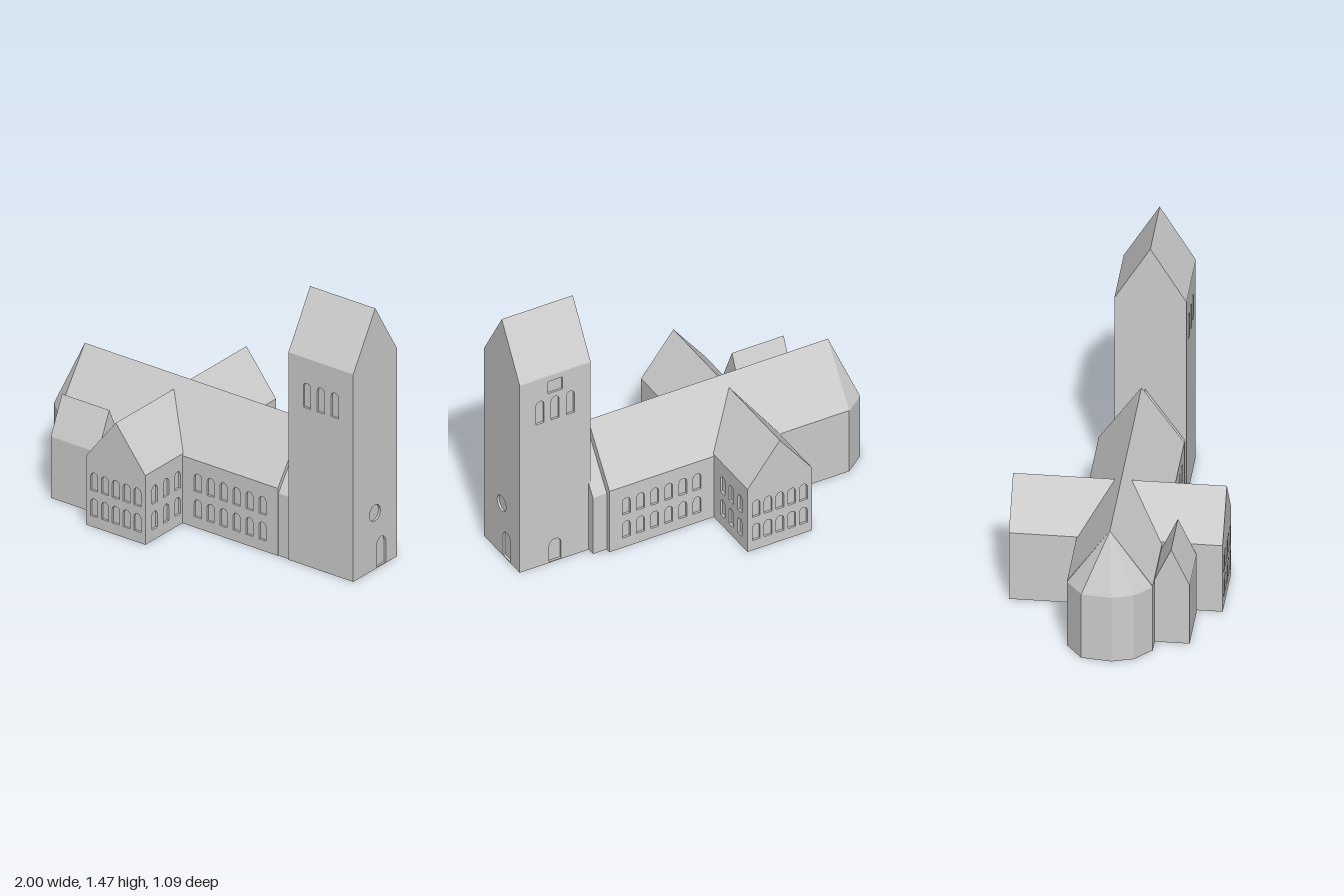
import * as THREE from 'three';
import { mergeGeometries } from 'three/addons/utils/BufferGeometryUtils.js';

const stone = new THREE.MeshStandardMaterial({ color: 0xcccccc });
stone.name = 'pale grey stone';

const RECESS = 0.012;

// Flat-shaded geometry from a list of convex polygons, counter-clockwise from outside
function polygons(faces) {
  const pos = [];
  for (const f of faces) {
    for (let i = 1; i < f.length - 1; i++) pos.push(...f[0], ...f[i], ...f[i + 1]);
  }
  const g = new THREE.BufferGeometry();
  g.setAttribute('position', new THREE.Float32BufferAttribute(pos, 3));
  g.computeVertexNormals();
  return g;
}

function flat(shape) {
  const g = new THREE.ShapeGeometry(shape).toNonIndexed();
  g.deleteAttribute('uv');
  return g;
}

// Opening outlines, counter-clockwise
function arch(u, y0, y1, w) {
  const r = w / 2, pts = [[u - r, y0], [u + r, y0]];
  for (let i = 0; i <= 6; i++) {
    const a = (i / 6) * Math.PI;
    pts.push([u + r * Math.cos(a), y1 - r + r * Math.sin(a)]);
  }
  return pts;
}
const rect = (u, y0, y1, w) => [[u - w / 2, y0], [u + w / 2, y0], [u + w / 2, y1], [u - w / 2, y1]];
function round(u, y, r) {
  return Array.from({ length: 24 }, (_, i) => {
    const a = (i / 24) * Math.PI * 2;
    return [u + r * Math.cos(a), y + r * Math.sin(a)];
  });
}

// Two storeys of arched windows at the given positions along a wall
const twoRows = (us) => us.flatMap((u) => [arch(u, 0.06, 0.16, 0.045), arch(u, 0.205, 0.305, 0.045)]);
const row = (start, step, n) => Array.from({ length: n }, (_, i) => start + step * i);

const toShape = (pts) => new THREE.Shape(pts.map(([x, y]) => new THREE.Vector2(x, y)));

// Wall with recessed openings, facing +z before it is turned and pushed outwards
function facade(outline, openings, angle, distance) {
  const shape = toShape(outline);
  const recesses = [];
  for (const o of openings) {
    shape.holes.push(toShape(o));
    recesses.push(flat(toShape(o)).translate(0, 0, -RECESS));
    recesses.push(polygons(o.map((p, i) => {
      const q = o[(i + 1) % o.length];
      return [[...p, 0], [...q, 0], [...q, -RECESS], [...p, -RECESS]];
    })));
  }
  const place = (g) => g.translate(0, 0, distance).rotateY(angle);
  return { wall: place(flat(shape)), recesses: recesses.map(place) };
}

// Gabled block with its ridge along local z; openings are listed per wall
function gabledBlock(name, { width, length, eave, ridge, front = [], back = [], right = [], left = [] }) {
  const w = width / 2, l = length / 2;
  const gable = [[-w, 0], [w, 0], [w, eave], [0, ridge], [-w, eave]];
  const side = [[-l, 0], [l, 0], [l, eave], [-l, eave]];
  const walls = [
    facade(gable, front, 0, l),
    facade(gable, back, Math.PI, l),
    facade(side, right, Math.PI / 2, w),
    facade(side, left, -Math.PI / 2, w),
  ];
  const group = new THREE.Group();
  group.name = name;
  const add = (part, geometry) => {
    const m = new THREE.Mesh(geometry, stone);
    m.name = name + part;
    group.add(m);
  };
  add('Walls', mergeGeometries(walls.map((f) => f.wall)));
  const recesses = walls.flatMap((f) => f.recesses);
  if (recesses.length) add('Openings', mergeGeometries(recesses));
  add('Roof', polygons([
    [[w, eave, l], [w, eave, -l], [0, ridge, -l], [0, ridge, l]],
    [[-w, eave, -l], [-w, eave, l], [0, ridge, l], [0, ridge, -l]],
  ]));
  add('Floor', polygons([[[-w, 0, -l], [w, 0, -l], [w, 0, l], [-w, 0, l]]]));
  return group;
}

// Block with its ridge along x, given by its extents; front wall = +x, left wall = +z, right wall = -z
function alongX(name, x0, x1, z0, z1, eave, ridge, openings = {}) {
  const g = gabledBlock(name, { width: z1 - z0, length: x1 - x0, eave, ridge, ...openings });
  g.rotation.y = Math.PI / 2;
  g.position.set((x0 + x1) / 2, 0, (z0 + z1) / 2);
  return g;
}

export function createModel() {
  const church = new THREE.Group();
  church.name = 'church';

  // Nave, windows between transept and tower on both sides
  const naveMid = (-0.87 + 0.52) / 2;
  const naveWindows = row(0.012, 0.082, 6).map((x) => x - naveMid);
  church.add(alongX('nave', -0.87, 0.52, -0.2, 0.235, 0.38, 0.69, {
    left: twoRows(naveWindows),
    right: twoRows(naveWindows.map((u) => -u)),
  }));

  // Short link between nave and tower
  church.add(alongX('link', 0.51, 0.6, -0.172, 0.23, 0.35, 0.64));

  // Saddle-roofed tower with belfry windows, doors and a round window
  const belfry = row(-0.088, 0.088, 3).map((u) => arch(u, 0.89, 1.03, 0.046));
  church.add(alongX('tower', 0.588, 1, -0.128, 0.237, 1.17, 1.47, {
    left: belfry,
    right: [...belfry, rect(0, 1.06, 1.135, 0.085), arch(0, 0.006, 0.14, 0.07)],
    front: [round(-0.002, 0.317, 0.045), arch(0.05, 0.006, 0.165, 0.075)],
  }));

  // Side annex
  church.add(alongX('annex', -0.785, -0.485, 0.225, 0.412, 0.345, 0.548));

  // Transept crossing the nave
  const gableWindows = twoRows(row(-0.137, 0.0685, 5));
  const transept = gabledBlock('transept', {
    width: 0.375, length: 1.085, eave: 0.39, ridge: 0.63,
    front: gableWindows,
    back: gableWindows,
    right: twoRows([-0.465, -0.37, -0.275, 0.29, 0.375, 0.465]),
  });
  transept.position.x = -0.273;
  church.add(transept);

  // Polygonal apse with a half-pyramid roof
  const plan = [[-0.87, -0.2], [-0.982, -0.115], [-1, 0.04], [-0.965, 0.15], [-0.87, 0.235]];
  const eave = 0.375, apex = [-0.87, 0.69, 0.0175];
  const at = ([x, z], y) => [x, y, z];
  const pairs = plan.slice(1).map((q, i) => [plan[i], q]);
  const apse = new THREE.Group();
  apse.name = 'apse';
  const parts = {
    apseWalls: pairs.map(([p, q]) => [at(p, 0), at(q, 0), at(q, eave), at(p, eave)]),
    apseRoof: pairs.map(([p, q]) => [at(p, eave), at(q, eave), apex]),
    apseFloor: [plan.map((p) => at(p, 0)).reverse()],
  };
  for (const [name, faces] of Object.entries(parts)) {
    const m = new THREE.Mesh(polygons(faces), stone);
    m.name = name;
    apse.add(m);
  }
  church.add(apse);

  return church;
}
